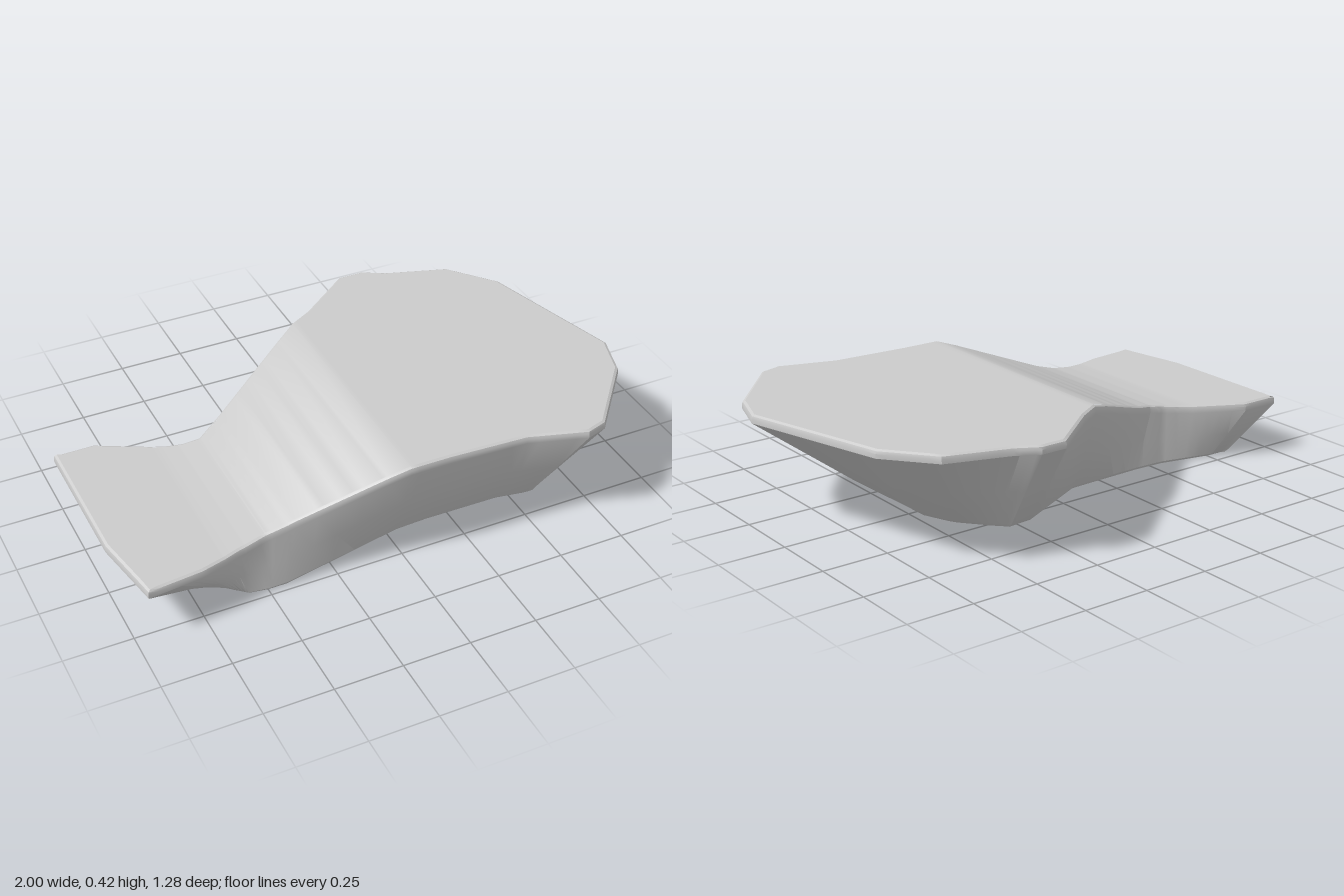
import * as THREE from 'three';
import { toCreasedNormals } from 'three/addons/utils/BufferGeometryUtils.js';

// Rim point (x, z) paired with the foot point (x, z) below it, once around
const OUTLINE = [
  [-1, -.29, -.84, -.2], [-.85, -.29, -.76, -.2], [-.62, -.17, -.62, -.17],
  [-.56, -.148, -.55, -.155], [-.5, -.14, -.43, -.15], [0, -.428, 0, -.31],
  [.09, -.48, .08, -.35], [.3, -.645, .3, -.46], [.4, -.645, .4, -.47],
  [.48, -.6, .44, -.42], [.71, -.525, .51, -.32], [.85, -.355, .575, -.2],
  [.92, -.1, .58, -.02], [1, .19, .585, .2], [.95, .35, .575, .33],
  [.73, .61, .555, .46], [.65, .635, .53, .472], [.44, .57, .4, .46],
  [.15, .555, .12, .455], [0, .555, 0, .46], [-.4, .475, -.43, .477],
  [-.5, .465, -.5, .477], [-.6, .48, -.57, .465], [-.75, .52, -.6, .43],
  [-.95, .54, -.64, .36], [-1, .26, -.76, .06],
];

// Height along x, read from a few [x, y] stations
const heightFrom = (stations) => (x) => {
  if (x <= stations[0][0]) return stations[0][1];
  for (let i = 1; i < stations.length; i++) {
    const [x0, y0] = stations[i - 1], [x1, y1] = stations[i];
    if (x <= x1) return y0 + (y1 - y0) * (x - x0) / (x1 - x0);
  }
  return stations.at(-1)[1];
};
const topY = heightFrom([[-.66, .22], [-.58, .227], [-.5, .24], [-.42, .262], [-.02, .415], [0, .42]]);
const footY = heightFrom([[-.43, 0], [0, .075], [.4, .078], [.52, .07], [.6, .08]]);

// Split every outline segment so that the walls follow the bends
function subdivide(points, n) {
  const out = [];
  points.forEach((p, i) => {
    const q = points[(i + 1) % points.length];
    for (let k = 0; k < n; k++) out.push(p.map((v, j) => v + (q[j] - v) * k / n));
  });
  return out;
}

// Move a closed loop of [x, z] points inward
function inset(loop, d) {
  const n = loop.length;
  return loop.map(([x, z], i) => {
    const a = loop[(i + n - 1) % n], b = loop[(i + 1) % n];
    const tx = b[0] - a[0], tz = b[1] - a[1], l = Math.hypot(tx, tz) || 1;
    return [x - tz / l * d, z + tx / l * d];
  });
}

// Close a loop with strips running across z, bent along x
function addCap(tris, loop, height, up) {
  const xs = loop.map((p) => p[0]).sort((a, b) => a - b)
    .filter((x, i, all) => i === 0 || x - all[i - 1] > 1e-5);
  const columns = xs.map((x) => {
    let lo = Infinity, hi = -Infinity;
    loop.forEach((p, i) => {
      const q = loop[(i + 1) % loop.length];
      if (x < Math.min(p[0], q[0]) - 2e-5 || x > Math.max(p[0], q[0]) + 2e-5) return;
      const dx = q[0] - p[0];
      const ends = Math.abs(dx) < 1e-4 ? [p[1], q[1]] : [p[1] + (q[1] - p[1]) * (x - p[0]) / dx];
      lo = Math.min(lo, ...ends);
      hi = Math.max(hi, ...ends);
    });
    return [[x, height(x), lo], [x, height(x), hi]];
  });
  for (let i = 1; i < columns.length; i++) {
    const [a, b] = columns[i - 1], [c, d] = columns[i];
    if (up) tris.push(a, b, c, b, d, c);
    else tris.push(a, c, b, b, c, d);
  }
}

export function createModel() {
  const pts = subdivide(OUTLINE, 5);
  const rim = pts.map((p) => [p[0], p[1]]);
  const foot = pts.map((p) => [p[2], p[3]]);
  const under = (loop, drop) => loop.map(([x, z]) => [x, topY(x) - drop, z]);
  const topLoop = inset(rim, .012);
  const footLoop = inset(foot, .008);

  // Rings from the rounded rim down the sloping wall to the softened foot
  const lip = under(rim, .03);
  const base = foot.map(([x, z]) => [x, footY(x), z]);
  const wall = (t) => lip.map((p, i) => p.map((v, j) => v + (base[i][j] - v) * t));
  const rings = [
    under(topLoop, 0), under(inset(rim, .003), .005), under(rim, .014), lip,
    wall(.5), wall(.95), footLoop.map(([x, z]) => [x, footY(x), z]),
  ];

  const tris = [];
  for (let r = 1; r < rings.length; r++) {
    const a = rings[r - 1], b = rings[r];
    for (let i = 0; i < a.length; i++) {
      const j = (i + 1) % a.length;
      tris.push(a[i], a[j], b[i], a[j], b[j], b[i]);
    }
  }
  addCap(tris, topLoop, topY, true);
  addCap(tris, footLoop, footY, false);

  const geometry = new THREE.BufferGeometry();
  geometry.setAttribute('position', new THREE.Float32BufferAttribute(tris.flat(), 3));
  const body = new THREE.Mesh(
    toCreasedNormals(geometry, .5),
    new THREE.MeshStandardMaterial({ color: 0xcccccc }),
  );
  body.name = 'steppedPlatform';

  const group = new THREE.Group();
  group.name = 'platform';
  group.add(body);
  return group;
}
